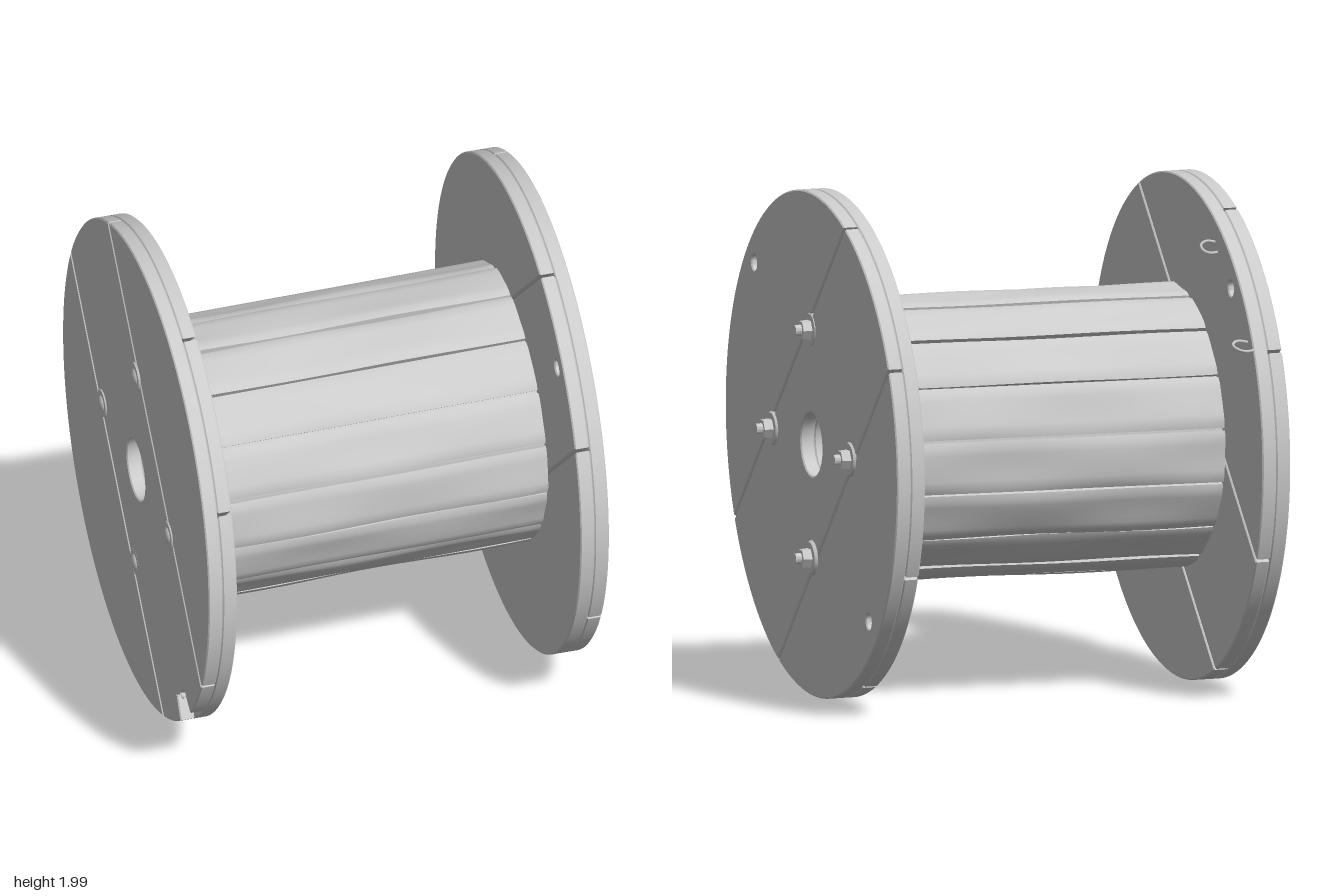
import * as THREE from 'three';
import { toCreasedNormals } from 'three/addons/utils/BufferGeometryUtils.js';

const R = 0.995;          // flange radius
const SEAM = 0.35;        // distance of board seams from the centre
const PLY = 0.058;        // thickness of one layer of boards
const BORE = 0.125;
const mat = new THREE.MeshStandardMaterial({ color: 0xcccccc, roughness: 0.9 });
const matDouble = new THREE.MeshStandardMaterial({ color: 0xcccccc, roughness: 0.9, side: THREE.DoubleSide });

function add(parent, name, geometry, material = mat) {
  const mesh = new THREE.Mesh(geometry, material);
  mesh.name = name;
  parent.add(mesh);
  return mesh;
}

// Slice of a disc between the heights a and b
function sliceShape(a, b, notch) {
  const a0 = Math.asin(a / R), b0 = Math.asin(b / R), n = 48, pts = [];
  const arc = (from, to) => {
    for (let i = 0; i <= n; i++) {
      const t = from + (to - from) * i / n;
      // a broken-out piece of the rim
      const r = notch !== undefined && Math.abs(t - notch) < 0.075 ? R - 0.1 : R;
      const p = new THREE.Vector2(r * Math.cos(t), r * Math.sin(t));
      if (!pts.some(q => q.distanceTo(p) < 1e-4)) pts.push(p);
    }
  };
  arc(a0, b0);
  arc(Math.PI - b0, Math.PI - a0);
  return new THREE.Shape(pts);
}

// One layer of three boards, turned by angle, with holes [x, y, radius]
function ply(name, angle, holes, notch) {
  const layer = new THREE.Group();
  layer.name = name;
  const g = 0.006, bevel = 0.005;
  [[-R, -SEAM - g], [-SEAM + g, SEAM - g], [SEAM + g, R]].forEach(([a, b], i) => {
    const shape = sliceShape(a, b, i === 1 ? notch : undefined);
    for (const [x, y, r] of holes) {
      const p = new THREE.Vector2(x, y).rotateAround(new THREE.Vector2(), -angle);
      const brokenOut = notch !== undefined && p.x > 0.8;
      if (p.y > a && p.y < b && !brokenOut) {
        shape.holes.push(new THREE.Path().absarc(p.x, p.y, r, 0, Math.PI * 2, true));
      }
    }
    const geo = new THREE.ExtrudeGeometry(shape, {
      depth: PLY - 2 * bevel, bevelThickness: bevel, bevelSize: bevel,
      bevelOffset: -bevel, bevelSegments: 1, curveSegments: 12,
    });
    geo.translate(0, 0, bevel - PLY / 2).rotateZ(angle).rotateY(Math.PI / 2);
    add(layer, 'flangeBoard', toCreasedNormals(geo, 0.6));
  });
  return layer;
}

// Two crossed layers of boards with a closed centre bore
function flange(side) {
  const group = new THREE.Group();
  group.name = side > 0 ? 'leftFlange' : 'rightFlange';
  const holes = [[0, 0, BORE], [-0.645 * side, 0.63, 0.032], [0.645 * side, -0.61, 0.032]];
  const outer = ply('outerBoards', Math.PI / 4, holes, side < 0 ? Math.PI + 0.0 : undefined);
  const inner = ply('innerBoards', -Math.PI / 4, holes);
  outer.position.x = side * PLY / 2;
  inner.position.x = -side * PLY / 2;
  group.add(outer, inner);
  // sunken floor of the bore
  const floor = new THREE.LatheGeometry(
    [[0, -0.1], [0.06, -0.08], [BORE + 0.01, -0.03]].map(p => new THREE.Vector2(...p)), 20);
  floor.rotateZ(-side * Math.PI / 2);
  add(group, 'boreFloor', floor, matDouble);
  group.rotation.z = -0.011;
  group.position.set(side > 0 ? 0.727 : -0.787, 0.998, 0);
  return group;
}

// Drum stave: a box bent to its sector, with worn edges and an uneven face
function stave(index, count) {
  const step = Math.PI * 2 / count, mid = 0.3 + index * step;
  const geo = new THREE.BoxGeometry(1.4, 1, 1, 20, 1, 8);
  const p = geo.attributes.position;
  const lift = 0.006 * Math.sin(index * 4.7);
  for (let i = 0; i < p.count; i++) {
    const x = p.getX(i), u = p.getZ(i) * 2;
    const phi = u * (step / 2 - 0.01);
    let r = 0.5;
    if (p.getY(i) > 0) {
      const wear = 0.004 * Math.sin(x * 7 + index * 2.3) * Math.sin(u * 2 + index);
      r = (0.55 + lift + wear) / Math.cos(phi) - 0.012 * u ** 8;
    }
    p.setXYZ(i, x, r * Math.cos(mid + phi), r * Math.sin(mid + phi));
  }
  geo.computeVertexNormals();
  return geo;
}

// Threaded end with washer and nut on one side, round head on the other
function bolt(y, z) {
  const group = new THREE.Group();
  group.name = 'bolt';
  const disc = (name, r0, r1, len, x, sides) => {
    const geo = new THREE.CylinderGeometry(r1, r0, len, sides).rotateZ(-Math.PI / 2);
    add(group, name, toCreasedNormals(geo, 0.6)).position.x = x;
  };
  disc('washer', 0.07, 0.062, 0.012, 0.788, 24);
  disc('nut', 0.042, 0.038, 0.04, 0.81, 6);
  disc('threadEnd', 0.023, 0.02, 0.05, 0.83, 12);
  disc('headWasher', 0.055, 0.06, 0.008, -0.846, 24);
  const head = new THREE.SphereGeometry(0.035, 16, 8, 0, Math.PI * 2, 0, Math.PI / 2);
  head.scale(1, 0.5, 1).rotateZ(Math.PI / 2);
  add(group, 'boltHead', head).position.x = -0.845;
  group.position.set(0, y, z);
  return group;
}

// Bent wire loop standing on the inner face of a flange
function wireLoop(y, z, size, turn) {
  const pts = [[-0.02, -0.5], [0.55, -0.55], [0.95, -0.25], [1, 0.2], [0.6, 0.5], [-0.02, 0.35]]
    .map(([x, t]) => new THREE.Vector3(x * 0.065, t * size * Math.cos(turn), t * size * Math.sin(turn)));
  const geo = new THREE.TubeGeometry(new THREE.CatmullRomCurve3(pts), 24, 0.006, 6);
  geo.translate(-0.725, y, z);
  return geo;
}

export function createModel() {
  const model = new THREE.Group();
  model.name = 'cableReel';
  model.add(flange(1), flange(-1));

  const drum = new THREE.Group();
  drum.name = 'drum';
  const count = 16;
  for (let i = 0; i < count; i++) add(drum, 'stave', stave(i, count));
  const core = new THREE.CylinderGeometry(0.525, 0.525, 1.4, 48, 1, true).rotateZ(Math.PI / 2);
  add(drum, 'drumCore', core, matDouble);
  drum.position.set(-0.03, 1.005, -0.008);
  drum.rotation.z = 0.005;
  model.add(drum);

  for (const [y, z] of [[1.45, 0], [0.55, 0], [1, 0.45], [1, -0.45]]) model.add(bolt(y, z));

  add(model, 'wireLoop', wireLoop(1.77, -0.48, 0.05, 0.6));
  add(model, 'wireLoop', wireLoop(1.43, -0.86, 0.08, 1.2));
  return model;
}
